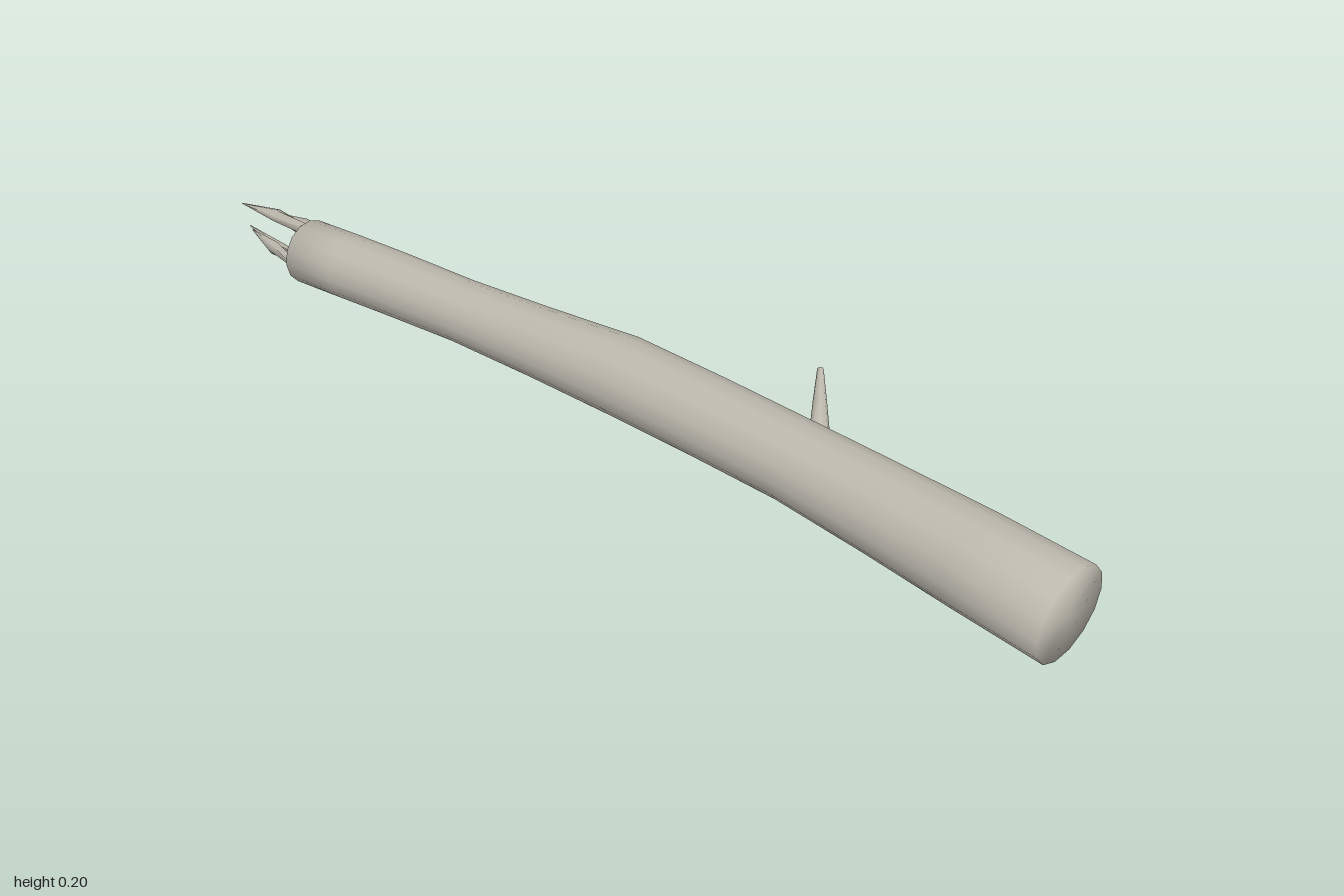
import * as THREE from 'three';

const wood = new THREE.MeshStandardMaterial({ color: 0xbcb8ad });
wood.name = 'pale wood';

// Closed, smooth tube through stations [x, y, z, radius], rings square to the path
function loft(name, stations, sides) {
  const centres = stations.map(([x, y, z]) => new THREE.Vector3(x, y, z));
  const last = stations.length - 1;
  const positions = [];
  const index = [];
  const axis = new THREE.Vector3(0, 0, 1);

  centres.forEach((centre, k) => {
    const direction = centres[Math.min(k + 1, last)].clone().sub(centres[Math.max(k - 1, 0)]).normalize();
    const turn = new THREE.Quaternion().setFromUnitVectors(axis, direction);
    for (let i = 0; i < sides; i++) {
      const a = (i / sides) * Math.PI * 2;
      const p = new THREE.Vector3(Math.cos(a), Math.sin(a), 0)
        .multiplyScalar(stations[k][3]).applyQuaternion(turn).add(centre);
      positions.push(p.x, p.y, p.z);
    }
  });

  // Walls
  for (let k = 0; k < last; k++) {
    for (let i = 0; i < sides; i++) {
      const j = (i + 1) % sides;
      const a = k * sides + i, b = k * sides + j;
      index.push(a, b, b + sides, a, b + sides, a + sides);
    }
  }

  // End caps share the rim vertices so the ends shade as rounded
  const start = positions.length / 3;
  positions.push(...centres[0].toArray(), ...centres[last].toArray());
  for (let i = 0; i < sides; i++) {
    const j = (i + 1) % sides;
    index.push(start, j, i, start + 1, last * sides + i, last * sides + j);
  }

  const geometry = new THREE.BufferGeometry();
  geometry.setAttribute('position', new THREE.Float32BufferAttribute(positions, 3));
  geometry.setIndex(index);
  geometry.computeVertexNormals();
  const mesh = new THREE.Mesh(geometry, wood);
  mesh.name = name;
  return mesh;
}

export function createModel() {
  const group = new THREE.Group();
  group.name = 'brokenLog';

  // Gently bent trunk, from the broken back end to the thick front end
  group.add(loft('trunk', [
    [-0.069, 0.097, -0.815, 0.067],
    [-0.062, 0.102, -0.7, 0.067],
    [-0.054, 0.106, -0.58, 0.066],
    [-0.043, 0.110, -0.4, 0.064],
    [-0.033, 0.115, -0.2, 0.07],
    [-0.023, 0.120, 0, 0.079],
    [-0.022, 0.118, 0.2, 0.079],
    [-0.024, 0.115, 0.4, 0.079],
    [-0.030, 0.107, 0.6, 0.085],
    [-0.040, 0.100, 0.8, 0.092],
    [-0.053, 0.095, 0.99, 0.095],
  ], 14));

  // Short side twig
  group.add(loft('twig', [
    [0.038, 0.143, 0.413, 0.019],
    [0.09, 0.17, 0.375, 0.013],
    [0.141, 0.198, 0.338, 0.006],
  ], 8));

  // Splinters on the broken end: base, belly and tip, each [x, y, z]
  const splinters = [
    [[-0.07, 0.145, -0.8], [-0.074, 0.153, -0.9], [-0.08, 0.147, -1]],
    [[-0.07, 0.05, -0.8], [-0.068, 0.064, -0.9], [-0.065, 0.085, -1]],
    [[-0.118, 0.1, -0.8], [-0.115, 0.105, -0.87], [-0.1, 0.11, -0.95]],
    [[-0.024, 0.115, -0.8], [-0.025, 0.118, -0.87], [-0.036, 0.122, -0.95]],
  ];
  for (const [base, belly, tip] of splinters) {
    group.add(loft('splinter', [[...base, 0.015], [...belly, 0.014], [...tip, 0.001]], 6));
  }

  return group;
}
